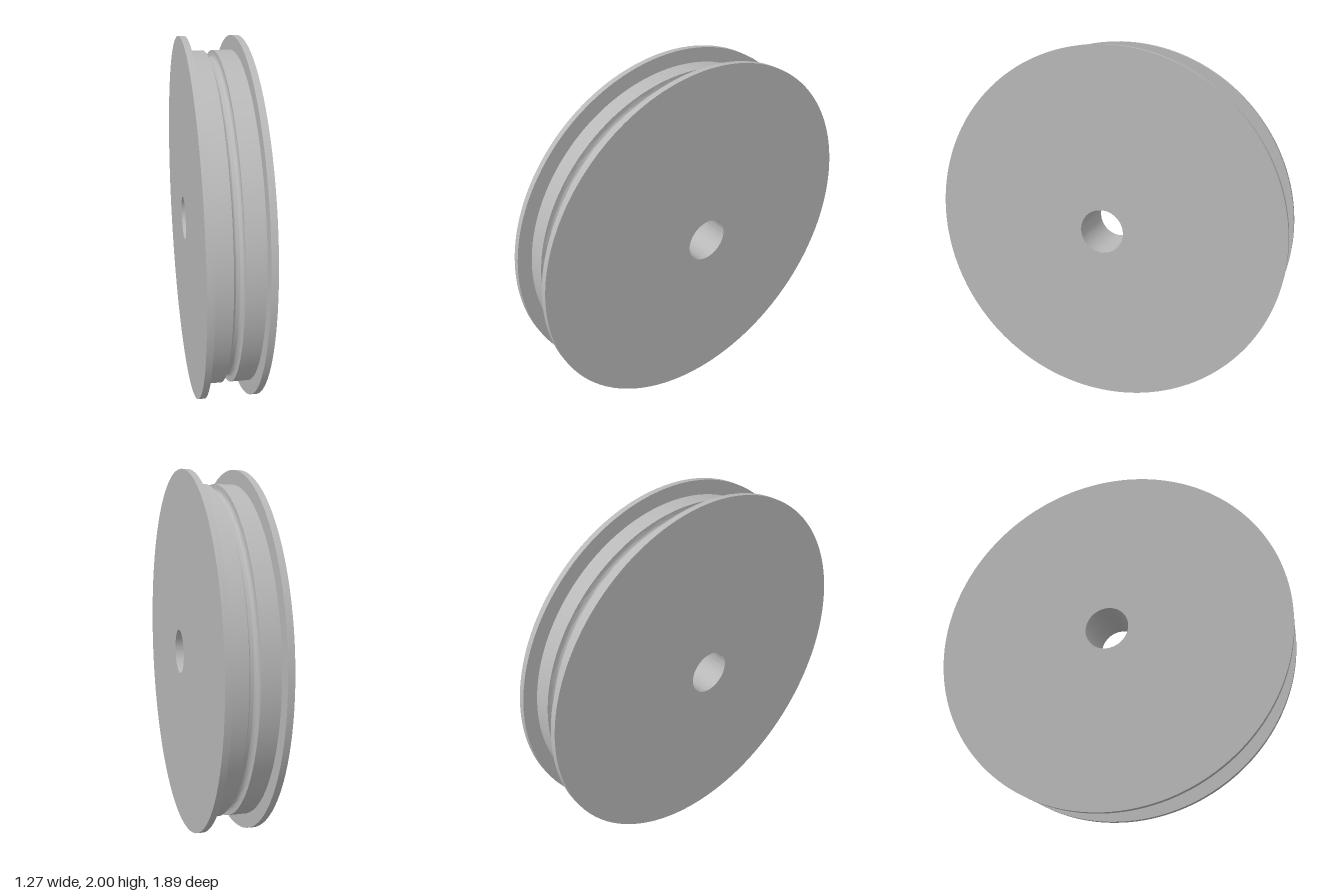
import * as THREE from 'three';
import { toCreasedNormals } from 'three/addons/utils/BufferGeometryUtils.js';

const RIM = 1;            // flange radius
const DRUM = 0.924;       // drum radius
const BORE = 0.123;       // axle hole radius
const HALF = 0.157;       // half of the total width
const INNER = 0.124;      // inner face of each flange
const GROOVE = 0.026;     // half width of the rounded groove
const GROOVE_CENTRE = 0.904;

export function createModel() {
  const metal = new THREE.MeshStandardMaterial({ color: 0xb8b8b8 });

  // Revolve [radius, height] points around y, keeping the edges sharp
  const turned = (name, profile) => {
    const points = profile.map(([r, h]) => new THREE.Vector2(r, h));
    const geometry = toCreasedNormals(new THREE.LatheGeometry(points, 160), Math.PI / 5);
    const mesh = new THREE.Mesh(geometry, metal);
    mesh.name = name;
    return mesh;
  };

  const wheel = new THREE.Group();
  wheel.name = 'grooved wheel';

  // Two mirrored flanges with the axle hole
  for (const side of [1, -1]) {
    const flange = turned(side > 0 ? 'leftFlange' : 'rightFlange', [
      [DRUM, INNER], [RIM, INNER], [RIM, HALF], [BORE, HALF],
    ]);
    if (side < 0) flange.rotation.x = Math.PI;
    wheel.add(flange);
  }

  // Drum with a round-bottomed groove around its middle
  const drum = [[DRUM, -INNER], [DRUM, -GROOVE]];
  for (let i = 0; i <= 12; i++) {
    const a = (i / 12) * Math.PI;
    drum.push([GROOVE_CENTRE - GROOVE * Math.sin(a), -GROOVE * Math.cos(a)]);
  }
  drum.push([DRUM, GROOVE], [DRUM, INNER]);
  wheel.add(turned('drum', drum));

  // Inside wall of the axle hole
  wheel.add(turned('axleBore', [[BORE, HALF], [BORE, -HALF]]));

  // Stand the wheel upright with its axle turned 60 degrees to the side
  wheel.rotation.set(Math.PI / 2, 0, -Math.PI / 3);
  wheel.rotation.order = 'YXZ';
  wheel.rotation.set(Math.PI / 2, Math.PI / 3, 0);
  wheel.position.y = RIM;

  const model = new THREE.Group();
  model.name = 'pulley';
  model.add(wheel);
  return model;
}
